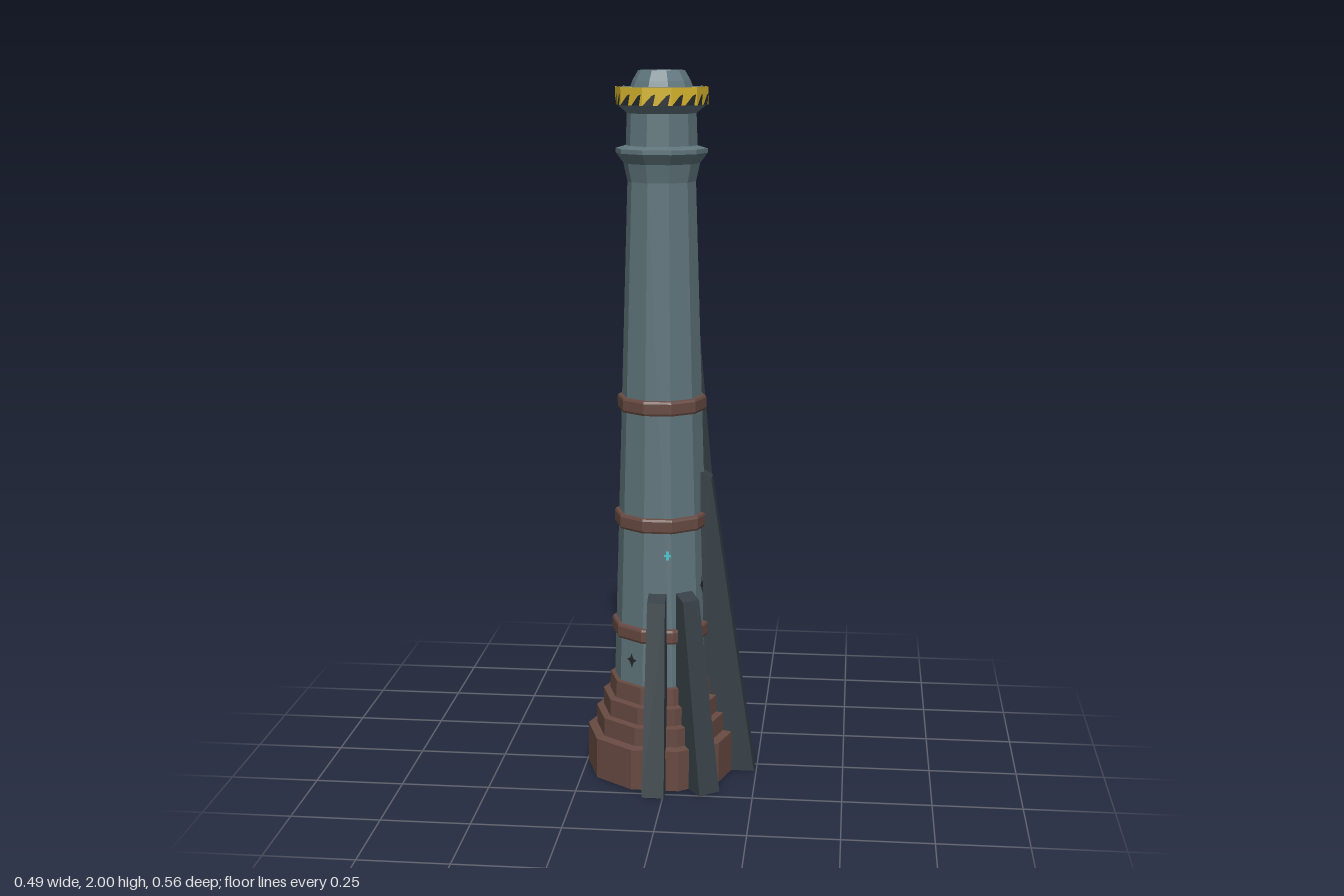
import * as THREE from 'three';

const mat = (name, color, side = THREE.FrontSide) => {
  const m = new THREE.MeshStandardMaterial({ color, side });
  m.name = name;
  return m;
};

export function createModel() {
  const slate = mat('slate', 0x5f757c);
  const brown = mat('brown', 0x674a42);
  const dark = mat('darkMetal', 0x353f45);
  const yellow = mat('yellow', 0xd6b42c);
  const black = mat('black', 0x25292b, THREE.DoubleSide);
  const cyan = mat('cyan', 0x48c4cb, THREE.DoubleSide);

  const model = new THREE.Group();
  const tower = new THREE.Group();
  tower.name = 'tower';
  tower.position.set(-0.028, 0, 0.017);
  model.add(tower);

  const add = (name, geometry, material, parent = tower) => {
    const mesh = new THREE.Mesh(geometry, material);
    mesh.name = name;
    parent.add(mesh);
    return mesh;
  };
  const flat = (g) => {
    const f = g.index ? g.toNonIndexed() : g;
    f.computeVertexNormals();
    return f;
  };
  // ten-sided turned part with corners on the x axis
  const turned = (name, points, material) =>
    add(name, flat(new THREE.LatheGeometry(
      points.map(([r, y]) => new THREE.Vector2(r, y)), 10, Math.PI / 10)), material);

  const shaftRadius = (y) => 0.137 - 0.03 * (y - 0.3);

  // stepped foot
  turned('steppedBase', [
    [0.217, 0], [0.217, 0.118], [0.192, 0.122], [0.192, 0.175], [0.172, 0.178],
    [0.172, 0.228], [0.153, 0.231], [0.15, 0.28], [0.13, 0.282],
  ], brown);
  turned('baseUnderside', [[0.0001, 0], [0.217, 0]], dark);

  // shaft, flared collar, neck, cap and hollow rim
  turned('shaft', [
    [shaftRadius(0.25), 0.25], [shaftRadius(1.7), 1.7], [0.106, 1.75], [0.127, 1.778],
    [0.127, 1.79], [0.099, 1.798], [0.096, 1.885], [0.125, 1.909], [0.125, 1.955],
    [0.086, 1.956], [0.08, 1.972], [0.064, 2], [0.058, 1.985], [0.0001, 1.985],
  ], slate);

  // clamping bands
  for (const y of [0.43, 0.75, 1.083]) {
    const r = shaftRadius(y);
    turned('band', [
      [r - 0.005, y - 0.022], [r + 0.009, y - 0.02], [r + 0.012, y - 0.014],
      [r + 0.012, y + 0.014], [r + 0.009, y + 0.02], [r - 0.005, y + 0.022],
    ], brown);
  }

  // hazard ring
  turned('hazardRing', [[0.124, 1.908], [0.128, 1.908], [0.128, 1.956], [0.124, 1.956]], yellow);

  // glowing lens
  const lens = add('lens', new THREE.CircleGeometry(0.052, 24).rotateX(-Math.PI / 2), cyan);
  lens.position.y = 1.99;

  // thin plate lying on a side of the tower; angle runs from +x towards +z
  const plate = (name, points, material, angle, y, radius, tilt, shift = 0) => {
    const shape = new THREE.Shape(points.map(([a, b]) => new THREE.Vector2(a + shift, b)));
    const a = THREE.MathUtils.degToRad(angle);
    const d = radius * Math.cos(Math.PI / 10) + 0.0015;
    const mesh = add(name, new THREE.ShapeGeometry(shape), material);
    mesh.position.set(Math.cos(a) * d, y, Math.sin(a) * d);
    mesh.rotation.set(-tilt, Math.PI / 2 - a, 0, 'YXZ');
    return mesh;
  };
  for (let i = 0; i < 10; i++) {
    for (const s of [-0.02, 0.02]) {
      plate('hazardStripe',
        [[-0.018, -0.024], [0.01, -0.024], [0.016, 0.006], [0.006, 0.002]],
        black, 18 + i * 36, 1.932, 0.128, 0, s);
    }
  }

  // buttresses: angle, height, foot reach, top reach, foot width, top width
  const buttresses = [
    [0, 0.885, 0.271, 0.143, 0.072, 0.058],
    [90, 0.555, 0.261, 0.163, 0.063, 0.05],
    [54, 0.555, 0.266, 0.163, 0.066, 0.052],
    [-54, 1.255, 0.29, 0.135, 0.07, 0.054],
    [-106, 1.55, 0.3, 0.12, 0.073, 0.056],
  ];
  for (const [angle, h, foot, top, wFoot, wTop] of buttresses) {
    const g = new THREE.BoxGeometry(1, 1, 1);
    const p = g.attributes.position;
    for (let i = 0; i < p.count; i++) {
      const outer = p.getX(i) > 0, high = p.getY(i) > 0;
      const x = outer ? (high ? top : foot) : (high ? shaftRadius(h) * 0.94 : 0.12);
      const y = high ? (outer ? h - 0.017 : h) : 0;
      p.setXYZ(i, x, y, p.getZ(i) * (high ? wTop : wFoot));
    }
    add('buttress', flat(g), dark).rotation.y = -THREE.MathUtils.degToRad(angle);
  }

  // small lights and cracks on the shaft
  const rect = (w, h) => [[-w, -h], [w, -h], [w, h], [-w, h]];
  const onShaft = (name, points, m, angle, y, shift) =>
    plate(name, points, m, angle, y, shaftRadius(y), 0.03, shift);
  onShaft('rearLight', rect(0.008, 0.02), cyan, -90, 1.62, 0.01);
  onShaft('frontLight', rect(0.004, 0.013), cyan, 90, 0.665, 0.028);
  onShaft('frontLight', rect(0.01, 0.003), cyan, 90, 0.665, 0.028);

  const longCrack = [[-0.014, 0.065], [0.004, 0.06], [0.002, 0.01], [0.016, -0.04],
    [0.012, -0.06], [-0.004, -0.045], [-0.007, 0.01]];
  const starCrack = [[0, 0.04], [0.006, 0.012], [0.02, 0.004], [0.008, -0.01],
    [0.002, -0.045], [-0.006, -0.012], [-0.016, 0.002], [-0.006, 0.012]];
  onShaft('crack', longCrack, black, -162, 1.37, 0);
  onShaft('crack', starCrack, black, -162, 0.58, 0);
  onShaft('crack', starCrack.map(([a, b]) => [a * 0.7, b * 0.7]), black, -126, 0.86, 0);
  onShaft('crack', starCrack.map(([a, b]) => [a, b * 0.5]), black, 126, 0.35, 0);
  onShaft('crack', starCrack.map(([a, b]) => [a * 0.8, b * 0.6]), black, 18, 0.56, 0);

  return model;
}
